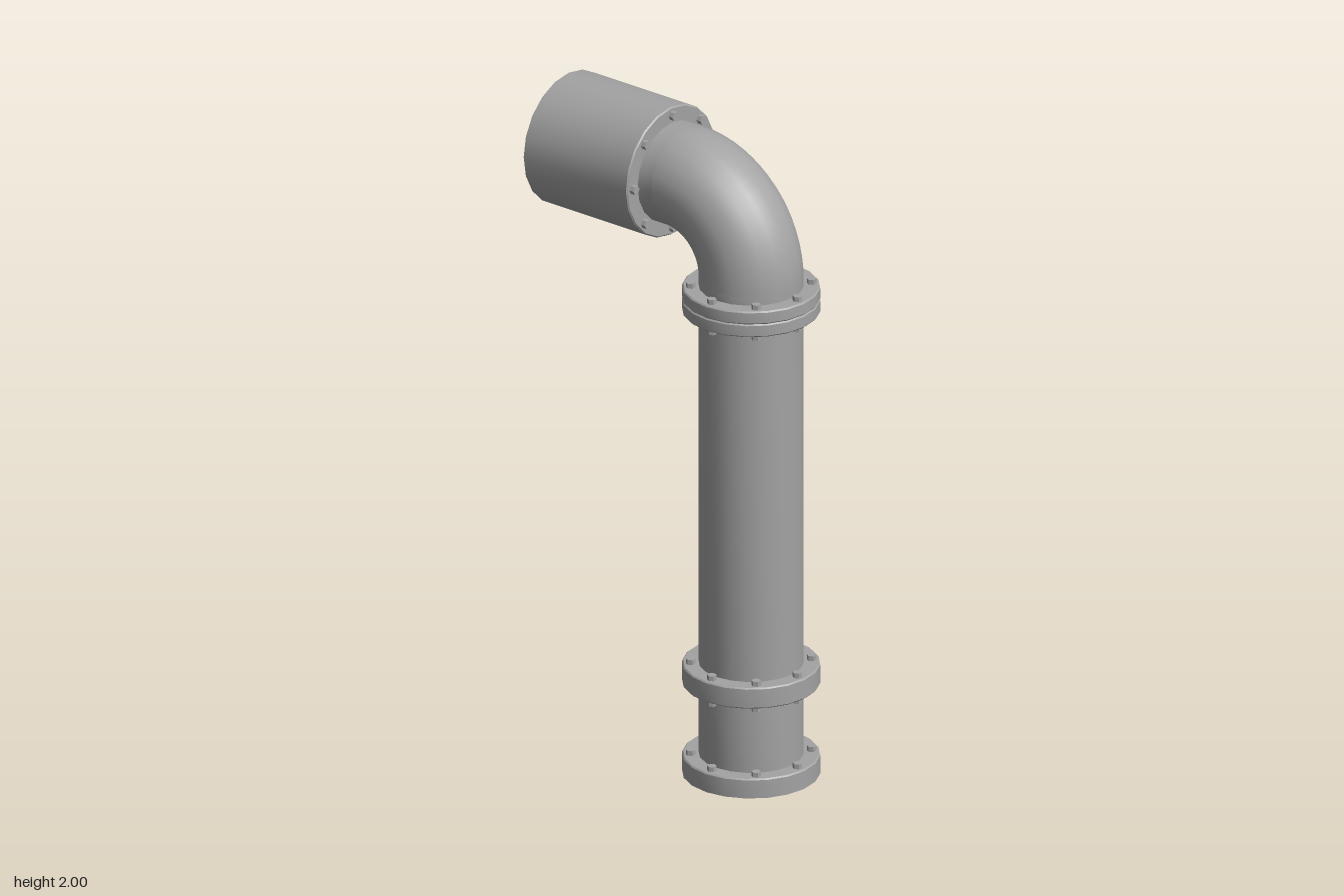
import * as THREE from 'three';
import { toCreasedNormals } from 'three/addons/utils/BufferGeometryUtils.js';

const SIDES = 20;
const PIPE_R = 0.152, FLANGE_R = 0.2, BOLT_R = 0.175, BEVEL = 0.004;
const AXIS_Z = 0.245, BEND_R = 0.25, OUTLET_Y = 1.8;

export function createModel() {
  const model = new THREE.Group();
  const metal = new THREE.MeshStandardMaterial({ color: 0xa3a3a3, side: THREE.DoubleSide });
  metal.name = 'grey metal';

  function add(parent, name, geometry) {
    const mesh = new THREE.Mesh(geometry, metal);
    mesh.name = name;
    parent.add(mesh);
    return mesh;
  }

  // Revolved profile with crisp edges
  function turned(parent, name, profile) {
    const points = profile.map(([r, y]) => new THREE.Vector2(r, y));
    return add(parent, name, toCreasedNormals(new THREE.LatheGeometry(points, SIDES), 0.5));
  }

  const tube = (parent, name, y0, y1) => turned(parent, name, [[PIPE_R, y0], [PIPE_R, y1]]);

  // Bevelled collar, closed on both faces
  const flange = (parent, name, y0, y1) => turned(parent, name, [
    [PIPE_R, y0], [FLANGE_R - BEVEL, y0], [FLANGE_R, y0 + BEVEL],
    [FLANGE_R, y1 - BEVEL], [FLANGE_R - BEVEL, y1], [PIPE_R, y1],
  ]);

  // Sleeve with an annular top face and an open lower end
  const openSleeve = (parent, name, y0, y1) => turned(parent, name, [
    [FLANGE_R, y0], [FLANGE_R, y1 - BEVEL], [FLANGE_R - BEVEL, y1], [PIPE_R, y1],
  ]);

  // Ring of eight hexagonal bolt heads
  const boltGeometry = toCreasedNormals(new THREE.CylinderGeometry(0.014, 0.014, 0.016, 6), 0.5);
  boltGeometry.rotateY(Math.PI / 6);
  function boltRing(parent, name, y) {
    const ring = new THREE.Group();
    ring.name = name;
    for (let i = 0; i < 8; i++) {
      const a = (i * Math.PI) / 4;
      add(ring, 'bolt', boltGeometry).position.set(BOLT_R * Math.sin(a), y, BOLT_R * Math.cos(a));
    }
    parent.add(ring);
  }

  // Upright pipe with its collars
  const upright = new THREE.Group();
  upright.name = 'uprightPipe';
  upright.position.z = AXIS_Z;
  model.add(upright);

  openSleeve(upright, 'baseFlange', 0, 0.06);
  tube(upright, 'lowerPipe', 0.06, 0.28);
  flange(upright, 'lowerFlange', 0.28, 0.345);
  tube(upright, 'mainPipe', 0.345, 1.445);
  flange(upright, 'upperFlangeBottom', 1.445, 1.485);
  flange(upright, 'upperFlangeTop', 1.485, 1.525);
  tube(upright, 'elbowInlet', 1.525, OUTLET_Y - BEND_R);
  for (const y of [0.067, 0.273, 0.352, 1.438, 1.532]) boltRing(upright, 'flangeBolts', y);

  // Quarter-turn elbow
  const bend = new THREE.TorusGeometry(BEND_R, PIPE_R, SIDES, 16, Math.PI / 2);
  bend.rotateY(-Math.PI / 2);
  add(model, 'elbow', bend).position.set(0, OUTLET_Y - BEND_R, AXIS_Z - BEND_R);

  // Horizontal outlet: its local +y points to the front
  const outlet = new THREE.Group();
  outlet.name = 'outlet';
  outlet.rotation.x = Math.PI / 2;
  outlet.position.y = OUTLET_Y;
  model.add(outlet);

  openSleeve(outlet, 'outletSleeve', -0.445, -0.055);
  tube(outlet, 'elbowOutlet', -0.055, AXIS_Z - BEND_R);
  boltRing(outlet, 'outletBolts', -0.048);

  return model;
}
